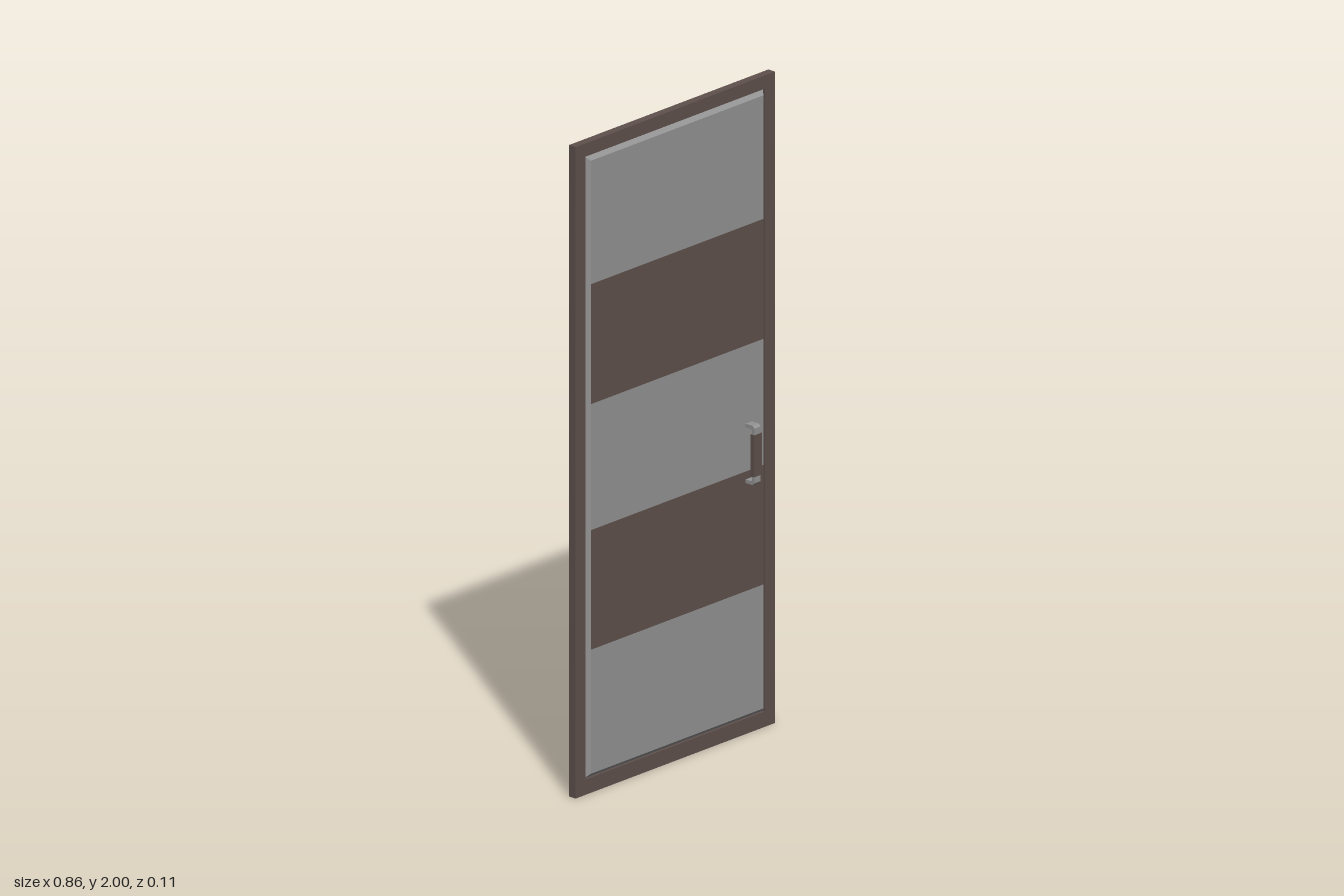
import * as THREE from 'three';

const brown = new THREE.MeshStandardMaterial({ color: 0x5f514d });
brown.name = 'dark brown';
const grey = new THREE.MeshStandardMaterial({ color: 0x939393 });
grey.name = 'mid grey';

function polygon(points) {
  return new THREE.Shape(points.map(([x, y]) => new THREE.Vector2(x, y)));
}

function rectangle(halfWidth, bottom, top) {
  return polygon([[-halfWidth, bottom], [halfWidth, bottom], [halfWidth, top], [-halfWidth, top]]);
}

function addMesh(parent, name, geometry, material, x = 0, y = 0, z = 0) {
  const mesh = new THREE.Mesh(geometry, material);
  mesh.name = name;
  mesh.position.set(x, y, z);
  parent.add(mesh);
  return mesh;
}

// Pull handle standing out along +z: a bent strap with a wider grip on it
function createHandle() {
  const handle = new THREE.Group();
  const mid = 0.866, h = 0.091, t = 0.011;
  const outer = [[0.018, h], [0.048, h], [0.055, h - 0.007]];
  const inner = [[0.045, h - t - 0.003], [0.042, h - t], [0.018, h - t]];
  const flip = (list) => list.map(([z, y]) => [z, -y]).reverse();
  const strap = new THREE.ExtrudeGeometry(
    polygon([...outer, ...flip(outer), ...flip(inner), ...inner]),
    { depth: 0.027, bevelEnabled: false });
  strap.translate(0, 0, -0.0135);
  strap.rotateY(-Math.PI / 2);
  addMesh(handle, 'handleStrap', strap, grey, 0, mid, 0);
  addMesh(handle, 'handleGrip', new THREE.BoxGeometry(0.034, 0.128, 0.015), brown, 0, mid, 0.0495);
  return handle;
}

export function createModel() {
  const door = new THREE.Group();
  door.name = 'door';

  // Outer frame with an opening
  const frameShape = rectangle(0.43, 0, 2);
  frameShape.holes.push(rectangle(0.387, 0.047, 1.959));
  const frame = new THREE.ExtrudeGeometry(frameShape, { depth: 0.026, bevelEnabled: false });
  addMesh(door, 'frame', frame, brown, 0, 0, -0.013);

  // Panel with chamfered edges, standing proud of the frame on both sides
  const panel = new THREE.ExtrudeGeometry(rectangle(0.372, 0.062, 1.944), {
    depth: 0.008, bevelEnabled: true, bevelSize: 0.015, bevelThickness: 0.016, bevelSegments: 1,
  });
  addMesh(door, 'panel', panel, grey, 0, 0, -0.004);

  // Painted bands and a handle on each side
  for (const side of [1, -1]) {
    const sideName = side > 0 ? 'front' : 'back';
    for (const [bandName, bottom, top] of [['Upper', 1.197, 1.565], ['Lower', 0.443, 0.81]]) {
      addMesh(door, sideName + bandName + 'Band', new THREE.BoxGeometry(0.744, top - bottom, 0.002),
        brown, 0, (top + bottom) / 2, side * 0.0195);
    }
    const handle = createHandle();
    handle.name = sideName + 'Handle';
    handle.position.x = 0.308;
    handle.rotation.y = side > 0 ? 0 : Math.PI;
    door.add(handle);
  }
  return door;
}
